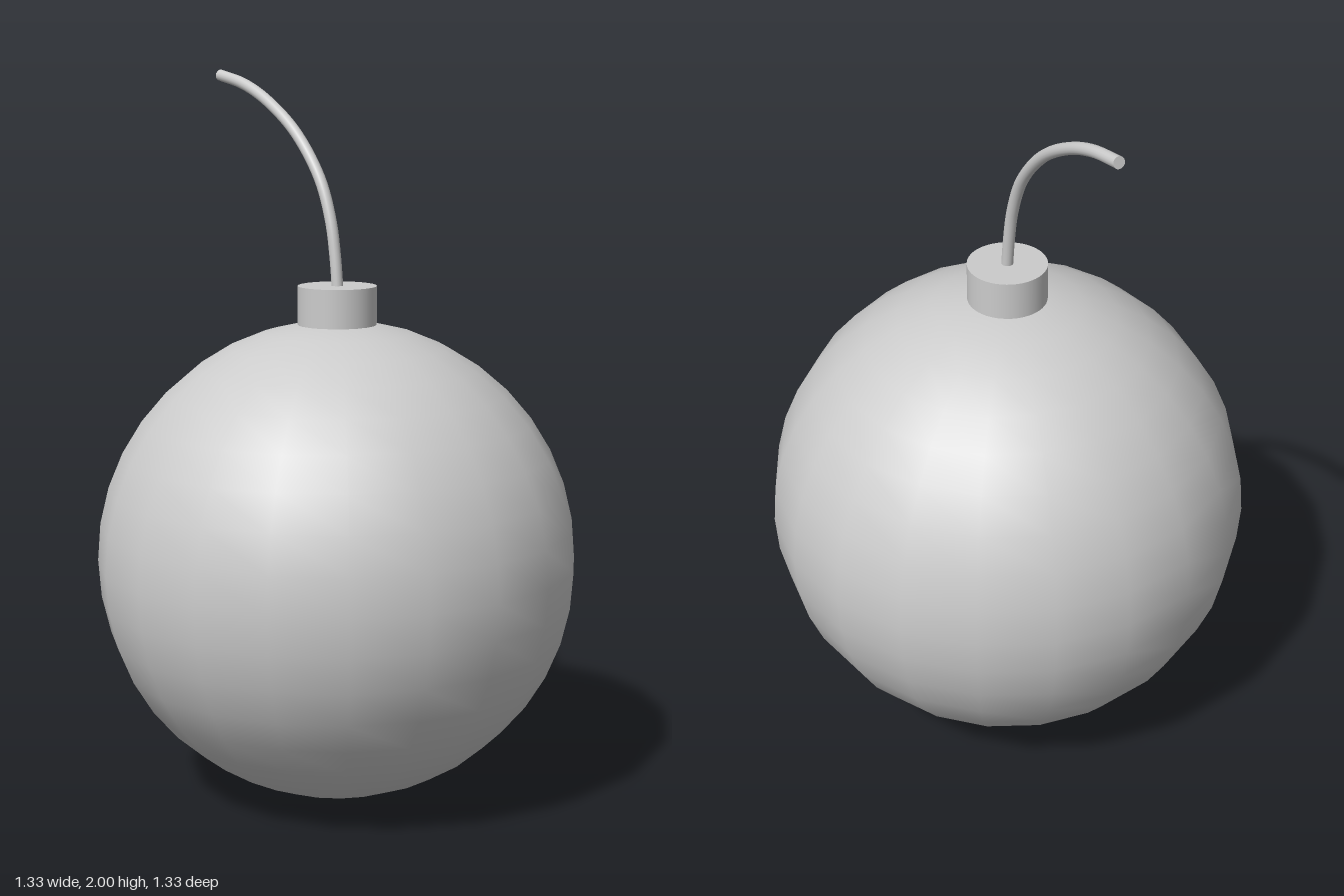
import * as THREE from 'three';

export function createModel() {
  const model = new THREE.Group();
  const material = new THREE.MeshStandardMaterial({ color: 0xcccccc });
  const add = (name, geometry, y = 0) => {
    const mesh = new THREE.Mesh(geometry, material);
    mesh.name = name;
    mesh.position.y = y;
    model.add(mesh);
    return mesh;
  };

  // Round body, resting on the ground
  add('body', new THREE.SphereGeometry(0.663, 20, 20), 0.666);

  // Short collar on top, sunk slightly into the body
  add('collar', new THREE.CylinderGeometry(0.108, 0.108, 0.125, 48), 1.363);

  // Fuse rising from the collar and bending towards the back
  const path = new THREE.CatmullRomCurve3([
    [1.40, 0.003], [1.5, -0.008], [1.6, -0.028], [1.71, -0.075],
    [1.83, -0.18], [1.915, -0.31], [1.96, -0.42], [1.984, -0.535],
  ].map(([y, z]) => new THREE.Vector3(0, y, z)));
  const radius = 0.016;
  add('fuse', new THREE.TubeGeometry(path, 40, radius, 16));

  // Flat disc closing the free end of the fuse
  const tip = add('fuseTip', new THREE.CircleGeometry(radius, 16));
  tip.position.copy(path.getPoint(1));
  tip.quaternion.setFromUnitVectors(new THREE.Vector3(0, 0, 1), path.getTangent(1));

  return model;
}
